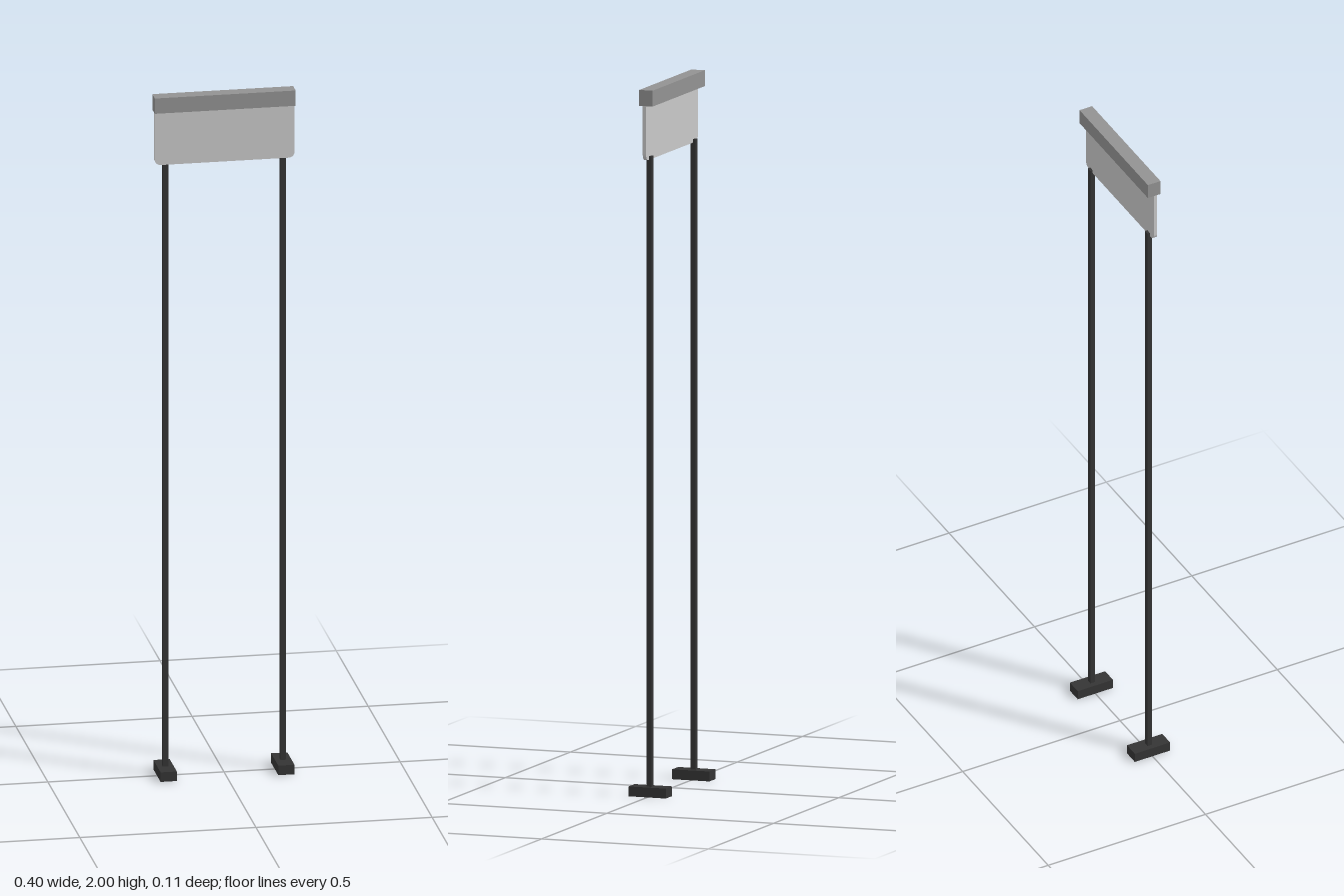
import * as THREE from 'three';

export function createModel() {
  const group = new THREE.Group();
  const material = (name, color) => {
    const m = new THREE.MeshStandardMaterial({ color });
    m.name = name;
    return m;
  };
  const panelGrey = material('light grey', 0xc8c8c8);
  const railGrey = material('mid grey', 0x929292);
  const darkGrey = material('dark grey', 0x343434);

  const add = (name, geometry, mat, x, y, z) => {
    const mesh = new THREE.Mesh(geometry, mat);
    mesh.name = name;
    mesh.position.set(x, y, z);
    group.add(mesh);
  };

  // Thin sign panel with rounded lower corners
  const w = 0.199, bottom = 1.8, top = 1.96, r = 0.018;
  const outline = new THREE.Shape();
  outline.moveTo(-w, top);
  outline.lineTo(-w, bottom + r);
  outline.absarc(-w + r, bottom + r, r, Math.PI, Math.PI * 1.5, false);
  outline.lineTo(w - r, bottom);
  outline.absarc(w - r, bottom + r, r, Math.PI * 1.5, Math.PI * 2, false);
  outline.lineTo(w, top);
  outline.closePath();
  const panel = new THREE.ExtrudeGeometry(outline, { depth: 0.01, bevelEnabled: false, curveSegments: 6 });
  add('panel', panel, panelGrey, 0, 0, 0);

  // Clamping rail along the top edge
  add('topRail', new THREE.BoxGeometry(0.4, 0.045, 0.04), railGrey, 0, 1.9775, 0);

  // Square poles on flat feet
  for (const [side, x] of [['left', 0.167], ['right', -0.167]]) {
    add(side + 'Pole', new THREE.BoxGeometry(0.015, 1.785, 0.015), darkGrey, x, 0.9175, 0);
    add(side + 'Foot', new THREE.BoxGeometry(0.046, 0.028, 0.112), darkGrey, x, 0.014, 0);
  }
  return group;
}
